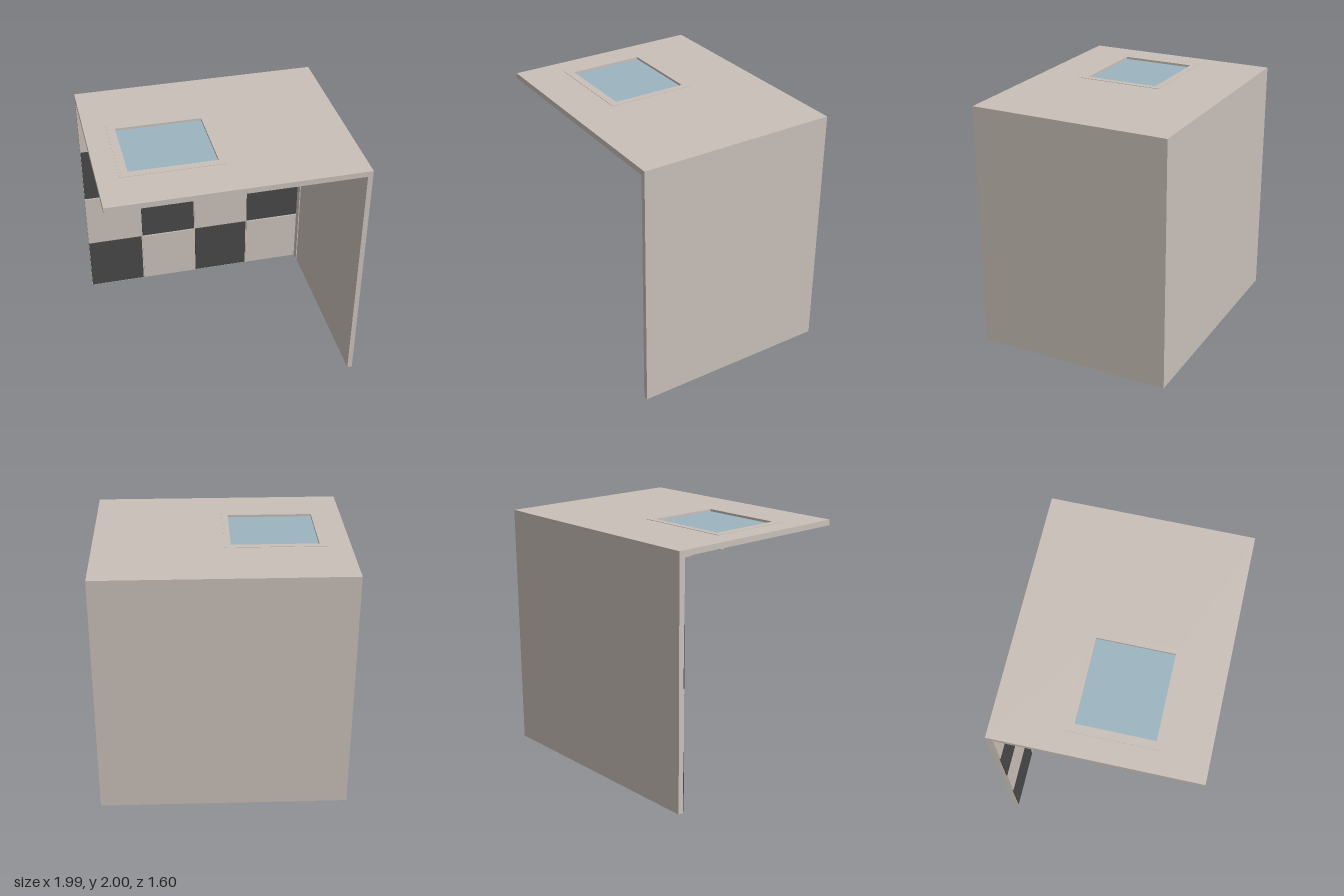
import * as THREE from 'three';

const mat = (name, color, double = false) => {
  const m = new THREE.MeshStandardMaterial({ color });
  m.name = name;
  if (double) m.side = THREE.DoubleSide;
  return m;
};

export function createModel() {
  const plaster = mat('warm plaster', 0xc9bfb8);
  const charcoal = mat('charcoal tile', 0x484848);
  const glass = mat('window glass', 0x9cb5bf);
  const blue = mat('blue paint', 0x6a6b99);
  const cardboard = mat('cardboard brown', 0xa58a78);
  const leafGreen = mat('leaf green', 0x469682, true);
  leafGreen.flatShading = true;

  const room = new THREE.Group();
  room.name = 'room';
  const add = (name, geo, m, parent = room) => {
    const mesh = new THREE.Mesh(geo, m);
    mesh.name = name;
    parent.add(mesh);
    return mesh;
  };
  // Box given by its two extreme corners
  const box = (name, m, x0, x1, y0, y1, z0, z1, parent) => {
    const b = add(name, new THREE.BoxGeometry(x1 - x0, y1 - y0, z1 - z0), m, parent);
    b.position.set((x0 + x1) / 2, (y0 + y1) / 2, (z0 + z1) / 2);
    return b;
  };
  // Flat rectangular ring around the window, its upper face at y = top
  const ring = (name, o, h, top, depth) => {
    const path = (p, [x0, x1, z0, z1]) => {
      p.moveTo(x0, z0); p.lineTo(x1, z0); p.lineTo(x1, z1); p.lineTo(x0, z1); p.closePath();
      return p;
    };
    const shape = path(new THREE.Shape(), o);
    shape.holes.push(path(new THREE.Path(), h));
    const g = new THREE.ExtrudeGeometry(shape, { depth, bevelEnabled: false });
    g.rotateX(Math.PI / 2).translate(0, top, 0);
    return add(name, g, plaster);
  };

  // Room shell: the floor lies at the back, with two walls rising toward +z
  const floorZ = -0.755;
  box('floor', plaster, -0.995, 0.95, 0, 1.955, -0.8, floorZ);
  box('sideWall', plaster, 0.95, 0.99, 0, 2, -0.8, 0.8);
  const opening = [-0.755, -0.075, -0.2, 0.4];
  ring('windowWall', [-0.995, 0.95, -0.8, 0.8], opening, 2, 0.045);

  // Checkered floor tiles
  const tiles = new THREE.Group();
  tiles.name = 'floorTiles';
  room.add(tiles);
  for (let i = 0; i < 4; i++) {
    for (let j = 0; j < 4; j++) {
      const x = -0.993 + i * 0.486, y = 0.01 + j * 0.4875;
      box('tile', (i + j) % 2 ? plaster : charcoal, x, x + 0.476, y, y + 0.4775, floorZ, floorZ + 0.008, tiles);
    }
  }

  // Skirting along both walls
  box('skirting', plaster, -0.99, 0.95, 1.947, 1.956, floorZ, -0.68);
  box('skirting', plaster, 0.942, 0.951, 0.01, 1.955, floorZ, -0.68);

  // Window with outer and inner trim and a sill
  box('windowPane', glass, -0.755, -0.075, 1.965, 1.985, -0.2, 0.4);
  ring('outerFrame', [-0.82, -0.025, -0.25, 0.46], opening, 2.003, 0.01);
  ring('innerFrame', [-0.82, -0.025, -0.25, 0.46], opening, 1.956, 0.026);
  box('windowSill', plaster, -0.88, 0.08, 1.91, 1.956, -0.29, -0.25);

  // Bookcase against the corner
  const shelfTop = 0.33;
  const bookcase = new THREE.Group();
  bookcase.name = 'bookcase';
  room.add(bookcase);
  box('backPanel', blue, 0.37, 0.94, 1.92, 1.94, floorZ, shelfTop, bookcase);
  for (const x of [0.37, 0.915]) box('sidePanel', blue, x, x + 0.028, 1.73, 1.922, floorZ, shelfTop, bookcase);
  for (let i = 0; i < 5; i++) {
    const z = floorZ + 0.04 + i * 0.254;
    box('shelf', blue, 0.375, 0.938, 1.731, 1.925, z, i === 4 ? shelfTop + 0.001 : z + 0.028, bookcase);
  }

  // Boxes resting on the bookcase
  for (const [x, y, turn] of [[0.51, 1.84, 0.24], [0.805, 1.85, -0.26]]) {
    const b = box('storageBox', cardboard, -0.11, 0.11, -0.062, 0.062, 0, 0.14);
    b.position.set(x, y, shelfTop + 0.071);
    b.rotation.z = turn;
  }

  // Potted plant: a turned pot whose axis points away from the floor
  const plant = new THREE.Group();
  plant.name = 'plant';
  plant.position.set(0.25, 1.69, floorZ + 0.008);
  room.add(plant);
  const profile = [[0, 0], [0.05, 0], [0.068, 0.15], [0.075, 0.15], [0.075, 0.18], [0.062, 0.18], [0.06, 0.16], [0, 0.16]];
  const potGeo = new THREE.LatheGeometry(profile.map(p => new THREE.Vector2(...p)), 10);
  add('pot', potGeo.rotateX(Math.PI / 2), cardboard, plant);

  // Arched leaf with a folded centre rib, from cross-sections [along, half width, height]
  const leaf = (tx, ty, half, rise) => {
    const len = Math.hypot(tx, ty), pos = [], index = [];
    const sections = [[0.03, 0.1, 0], [0.3, 0.65, 0.75], [0.62, 1, 1], [0.82, 0.62, 0.82], [1, 0.01, 0.5]];
    for (const [t, w, h] of sections) {
      for (const s of [-1, 0, 1]) {
        const across = s * w * half;
        pos.push(t * tx - across * ty / len, t * ty + across * tx / len, 0.16 + h * rise + Math.abs(s) * w * half * 0.5);
      }
    }
    for (let r = 0; r < sections.length - 1; r++) {
      for (let c = 0; c < 2; c++) {
        const a = r * 3 + c;
        index.push(a, a + 3, a + 1, a + 1, a + 3, a + 4);
      }
    }
    const g = new THREE.BufferGeometry();
    g.setAttribute('position', new THREE.Float32BufferAttribute(pos, 3));
    g.setIndex(index);
    g.computeVertexNormals();
    add('leaf', g, leafGreen, plant);
  };
  const leaves = [
    [-0.23, 0.22, 0.05, 0.3], [0.08, 0.15, 0.05, 0.38], [-0.06, 0.07, 0.05, 0.42],
    [-0.25, -0.17, 0.05, 0.2], [-0.18, -0.06, 0.06, 0.34], [-0.08, -0.2, 0.035, 0.18],
    [0.08, -0.29, 0.05, 0.24], [0.29, -0.21, 0.07, 0.32], [0.14, -0.03, 0.05, 0.36],
  ];
  for (const l of leaves) leaf(...l);

  // Loose tangle lying beside the bookcase
  let seed = 7;
  const rand = () => (seed = (seed * 16807) % 2147483647) / 2147483647 - 0.5;
  const points = Array.from({ length: 34 }, () => new THREE.Vector3(rand() * 0.11, rand() * 0.12, rand() * 0.1));
  const tangle = add('tangle', new THREE.TubeGeometry(new THREE.CatmullRomCurve3(points), 240, 0.003, 4), plaster);
  tangle.position.set(0.885, 1.62, floorZ + 0.065);

  return room;
}
